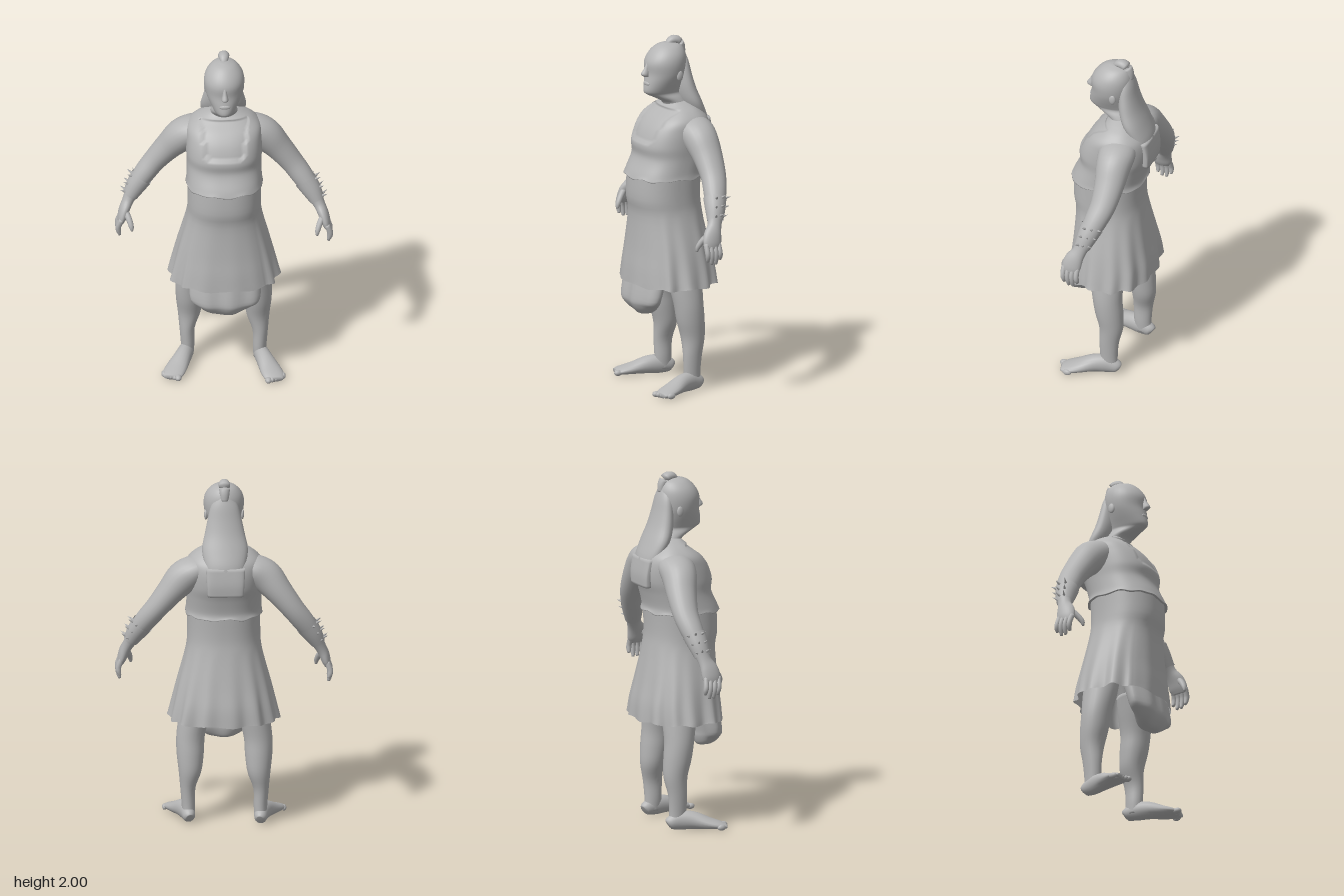
import * as THREE from 'three';

const V3 = (x, y, z) => new THREE.Vector3(x, y, z);
const UP = V3(0, 1, 0), FRONT = V3(0, 0, 1);

// Catmull-Rom blend of section rows
function refine(rows, steps) {
  const out = [];
  const at = i => rows[Math.max(0, Math.min(rows.length - 1, i))];
  for (let i = 0; i < rows.length - 1; i++) {
    const [p, q, r, s] = [at(i - 1), at(i), at(i + 1), at(i + 2)];
    for (let k = 0; k < steps; k++) {
      const t = k / steps;
      out.push(q.map((v, n) => v + 0.5 * t * (r[n] - p[n] +
        t * (2 * p[n] - 5 * v + 4 * r[n] - s[n] + t * (3 * (v - r[n]) + s[n] - p[n])))));
    }
  }
  out.push(rows[rows.length - 1]);
  return out;
}

// Skin over sections [x, y, z, halfA, halfB]; halfB runs along ref
function loft(rows, { sides = 20, steps = 4, ref = FRONT, dir = null, power = 2, caps = true, warp = null } = {}) {
  const rings = refine(rows, steps), pos = [], idx = [];
  const centre = i => V3(...rings[Math.max(0, Math.min(rings.length - 1, i))].slice(0, 3));
  const curve = v => Math.sign(v) * Math.abs(v) ** (2 / power);
  rings.forEach((r, i) => {
    const T = dir ? dir.clone() : centre(i + 1).sub(centre(i - 1)).normalize();
    const V = ref.clone().addScaledVector(T, -T.dot(ref)).normalize();
    const U = T.clone().cross(V);
    for (let j = 0; j < sides; j++) {
      const a = j / sides * Math.PI * 2;
      const p = centre(i).addScaledVector(U, r[3] * curve(Math.cos(a))).addScaledVector(V, r[4] * curve(Math.sin(a)));
      if (warp) warp(p, a, i / (rings.length - 1));
      pos.push(p.x, p.y, p.z);
    }
  });
  const n = rings.length;
  for (let i = 0; i < n - 1; i++) for (let j = 0; j < sides; j++) {
    const a = i * sides + j, b = i * sides + (j + 1) % sides;
    idx.push(a, a + sides, b, b, a + sides, b + sides);
  }
  if (caps) {
    pos.push(...rings[0].slice(0, 3), ...rings[n - 1].slice(0, 3));
    const c = n * sides, e = (n - 1) * sides;
    for (let j = 0; j < sides; j++) {
      const k = (j + 1) % sides;
      idx.push(c, j, k, c + 1, e + k, e + j);
    }
  }
  const g = new THREE.BufferGeometry();
  g.setAttribute('position', new THREE.Float32BufferAttribute(pos, 3));
  g.setIndex(idx);
  g.computeVertexNormals();
  return g;
}

// Upright section from height, half width, front z and back z
const slice = (y, a, f, b) => [0, y, (f + b) / 2, a, (f - b) / 2];

export function createModel() {
  const model = new THREE.Group();
  const clay = new THREE.MeshStandardMaterial({ color: 0xb4b4b4, side: THREE.DoubleSide });
  clay.name = 'clay grey';
  const add = (name, geometry, parent = model) => {
    const m = new THREE.Mesh(geometry, clay);
    m.name = name;
    parent.add(m);
    return m;
  };
  const ball = (name, p, r, parent) => {
    const m = add(name, new THREE.SphereGeometry(1, 14, 10), parent);
    m.position.set(...p);
    m.scale.set(...r);
    return m;
  };

  // Tunic top, with a square neckline and a slightly uneven lower edge
  add('tunicTop', loft([
    slice(1.215, 0.215, 0.238, -0.183), slice(1.25, 0.21, 0.222, -0.176), slice(1.33, 0.208, 0.186, -0.195),
    slice(1.4, 0.212, 0.19, -0.218), slice(1.48, 0.212, 0.162, -0.222), slice(1.54, 0.205, 0.118, -0.205),
    slice(1.585, 0.165, 0.062, -0.165), slice(1.615, 0.115, 0.025, -0.13), slice(1.635, 0.07, 0.01, -0.1)],
  { sides: 72, steps: 6, dir: UP, power: 2.4, warp: (p, a, t) => {
    if (t < 0.1) p.y += 0.004 * (Math.sin(a * 7) + Math.sin(a * 11 + 1)) * (1 - t * 10);
    if (p.z > 0 && p.y > 1.42 && p.y < 1.6 && Math.abs(p.x) < 0.1 + (p.y - 1.42) * 0.2) p.z -= 0.014;
  } }));

  // Flap of the tunic across the shoulder blades
  add('backFlap', loft([
    slice(1.37, 0.1, -0.19, -0.236), slice(1.44, 0.105, -0.19, -0.238), slice(1.53, 0.11, -0.16, -0.224)],
  { sides: 32, dir: UP, power: 4 }));

  // Pleated skirt hanging from the belly, open below
  add('skirt', loft([
    slice(0.605, 0.305, 0.238, -0.238), slice(0.7, 0.285, 0.232, -0.232), slice(0.82, 0.258, 0.22, -0.21),
    slice(1.0, 0.212, 0.212, -0.178), slice(1.1, 0.204, 0.228, -0.167), slice(1.24, 0.204, 0.222, -0.172)],
  { sides: 120, steps: 4, dir: UP, power: 2.3, caps: false, warp: (p, a, t) => {
    const fall = Math.max(0, 1 - t / 0.65);
    const calm = Math.sin(a) > 0.7 ? 0.2 : 1;
    const k = 1 + 0.04 * fall * calm * (Math.sin(a * 14) + 0.4 * Math.sin(a * 9 + 2));
    p.x *= k;
    p.z *= k;
    if (t < 0.05) p.y += 0.005 * Math.sin(a * 9 + 1);
  } }));

  // Rounded cloth hanging below the hem
  add('hangingCloth', loft([
    [0, 0.43, 0.16, 0.035, 0.025], [0, 0.445, 0.163, 0.09, 0.045], [0, 0.485, 0.17, 0.15, 0.066],
    [0, 0.53, 0.17, 0.195, 0.072], [0, 0.66, 0.14, 0.2, 0.08]],
  { sides: 48, dir: UP, warp: p => { p.z += 0.006 * Math.sin(p.x * 45); } }));

  // Head and neck
  const head = new THREE.Group();
  head.name = 'head';
  model.add(head);
  add('skull', loft([
    slice(1.58, 0.085, 0.02, -0.13), slice(1.625, 0.078, 0.03, -0.11), slice(1.655, 0.07, 0.08, -0.1),
    slice(1.68, 0.06, 0.13, -0.095), slice(1.7, 0.067, 0.15, -0.095), slice(1.75, 0.09, 0.143, -0.095),
    slice(1.8, 0.107, 0.134, -0.1), slice(1.86, 0.113, 0.136, -0.105), slice(1.91, 0.1, 0.112, -0.098),
    slice(1.95, 0.065, 0.07, -0.075), slice(1.967, 0.02, 0.025, -0.03)], { sides: 32, dir: UP }), head);
  add('nose', loft([
    [0, 1.785, 0.135, 0.016, 0.016], [0, 1.8, 0.145, 0.019, 0.025], [0, 1.83, 0.132, 0.013, 0.02],
    [0, 1.87, 0.118, 0.01, 0.014]], { sides: 12, dir: UP }), head);
  ball('lips', [0, 1.745, 0.135], [0.032, 0.014, 0.012], head);
  for (const s of [-1, 1]) ball('ear', [s * 0.102, 1.79, -0.02], [0.01, 0.03, 0.02], head);

  // Topknot and the long hair falling down the back
  add('topknot', loft([
    [0, 1.89, -0.09, 0.022, 0.02], [0, 1.935, -0.082, 0.028, 0.025], [0, 1.97, -0.058, 0.032, 0.026],
    [0, 1.975, -0.025, 0.028, 0.023], [0, 1.96, 0.0, 0.018, 0.014], [0, 1.95, 0.01, 0.006, 0.005]],
  { ref: V3(0, 1, 0.9), sides: 16 }), head);
  add('longHair', loft([
    slice(1.48, 0.1, -0.15, -0.23), slice(1.54, 0.115, -0.11, -0.222), slice(1.62, 0.128, -0.06, -0.19),
    slice(1.7, 0.112, -0.035, -0.157), slice(1.78, 0.095, -0.03, -0.133), slice(1.86, 0.075, -0.03, -0.115),
    slice(1.92, 0.04, -0.03, -0.095)], { sides: 32, dir: UP }), head);

  for (const s of [1, -1]) {
    const side = s > 0 ? 'left' : 'right';
    const arm = new THREE.Group(), leg = new THREE.Group();
    arm.name = side + 'Arm';
    leg.name = side + 'Leg';
    model.add(arm, leg);
    // The right arm swings a little further back
    const reach = ([x, y, z, ...r]) => [s * x, y, z - (s < 0 ? Math.max(0, x - 0.2) * 0.27 : 0), ...r];

    add('armSkin', loft([
      [0.1, 1.52, -0.075, 0.05, 0.09], [0.17, 1.488, -0.078, 0.08, 0.105], [0.235, 1.44, -0.08, 0.092, 0.098],
      [0.305, 1.36, -0.083, 0.076, 0.085], [0.38, 1.265, -0.075, 0.064, 0.073], [0.44, 1.185, -0.05, 0.06, 0.064],
      [0.49, 1.11, -0.022, 0.049, 0.052], [0.53, 1.035, 0.005, 0.033, 0.04], [0.553, 0.985, 0.03, 0.03, 0.052],
      [0.567, 0.94, 0.042, 0.026, 0.055], [0.575, 0.91, 0.045, 0.018, 0.045]].map(reach),
    { sides: 24 }), arm);

    // Fingers and thumb
    for (let i = 0; i < 4; i++) {
      const z = 0.005 + i * 0.026, low = 0.822 + [0.025, 0, 0.002, 0.02][i];
      add('finger', loft([
        [0.57, 0.94, z, 0.015, 0.015], [0.588, 0.895, z, 0.016, 0.015],
        [0.588, (0.89 + low) / 2, z - 0.003, 0.014, 0.014], [0.58, low, z - 0.005, 0.008, 0.008]].map(reach),
      { sides: 10, steps: 3 }), arm);
    }
    add('thumb', loft([
      [0.55, 0.985, 0.055, 0.018, 0.018], [0.53, 0.95, 0.085, 0.017, 0.017],
      [0.518, 0.915, 0.105, 0.014, 0.014], [0.515, 0.89, 0.11, 0.007, 0.007]].map(reach),
    { sides: 10, steps: 3 }), arm);

    // Spiked cuff around the outer forearm
    add('cuff', loft([[0.455, 1.163, -0.04, 0.062, 0.066], [0.49, 1.11, -0.022, 0.055, 0.057],
      [0.52, 1.055, -0.004, 0.042, 0.046]].map(reach), { caps: false }), arm);
    for (let row = 0; row < 3; row++) for (const turn of [-1, -0.35, 0.3]) {
      const t = row / 2, r = 0.064 - 0.018 * t;
      const base = reach([0.463 + 0.052 * t, 1.15 - 0.085 * t, -0.036 + 0.03 * t]);
      const out = V3(s * 0.85 * Math.cos(turn), 0.52 * Math.cos(turn), Math.sin(turn)).normalize();
      const spike = add('spike', new THREE.ConeGeometry(0.011, 0.045, 6), arm);
      spike.position.set(...base).addScaledVector(out, r + 0.008);
      spike.quaternion.setFromUnitVectors(UP, out);
    }

    // Bare leg and foot; the right one stands slightly back and turns out more
    const step = ([x, y, z, ...r]) => [s * (x + (s < 0 ? Math.max(0, z) * 0.1 : 0)), y, z - (s < 0 ? 0.045 : 0), ...r];
    add('legSkin', loft([
      [0.2, 0.03, -0.045, 0.034, 0.048], [0.2, 0.1, -0.04, 0.038, 0.05], [0.203, 0.2, -0.042, 0.043, 0.056],
      [0.191, 0.3, -0.05, 0.064, 0.068], [0.19, 0.4, -0.037, 0.076, 0.08], [0.187, 0.5, -0.025, 0.08, 0.085],
      [0.165, 0.62, -0.015, 0.087, 0.098], [0.145, 0.72, -0.01, 0.09, 0.1]].map(step),
    { sides: 24, dir: UP }), leg);
    add('foot', loft([
      [0.195, 0.035, -0.1, 0.02, 0.024], [0.198, 0.042, -0.085, 0.034, 0.038], [0.207, 0.053, -0.03, 0.041, 0.053],
      [0.226, 0.052, 0.04, 0.048, 0.05], [0.254, 0.034, 0.12, 0.06, 0.033], [0.272, 0.024, 0.175, 0.06, 0.022],
      [0.278, 0.018, 0.21, 0.045, 0.014]].map(step), { ref: UP, sides: 20 }), leg);
    for (let i = 0; i < 5; i++) {
      ball('toe', step([0.24 + i * 0.021, 0.018, 0.212 - i * 0.012]), [i ? 0.014 : 0.019, 0.017, 0.025], leg);
    }
  }
  return model;
}
